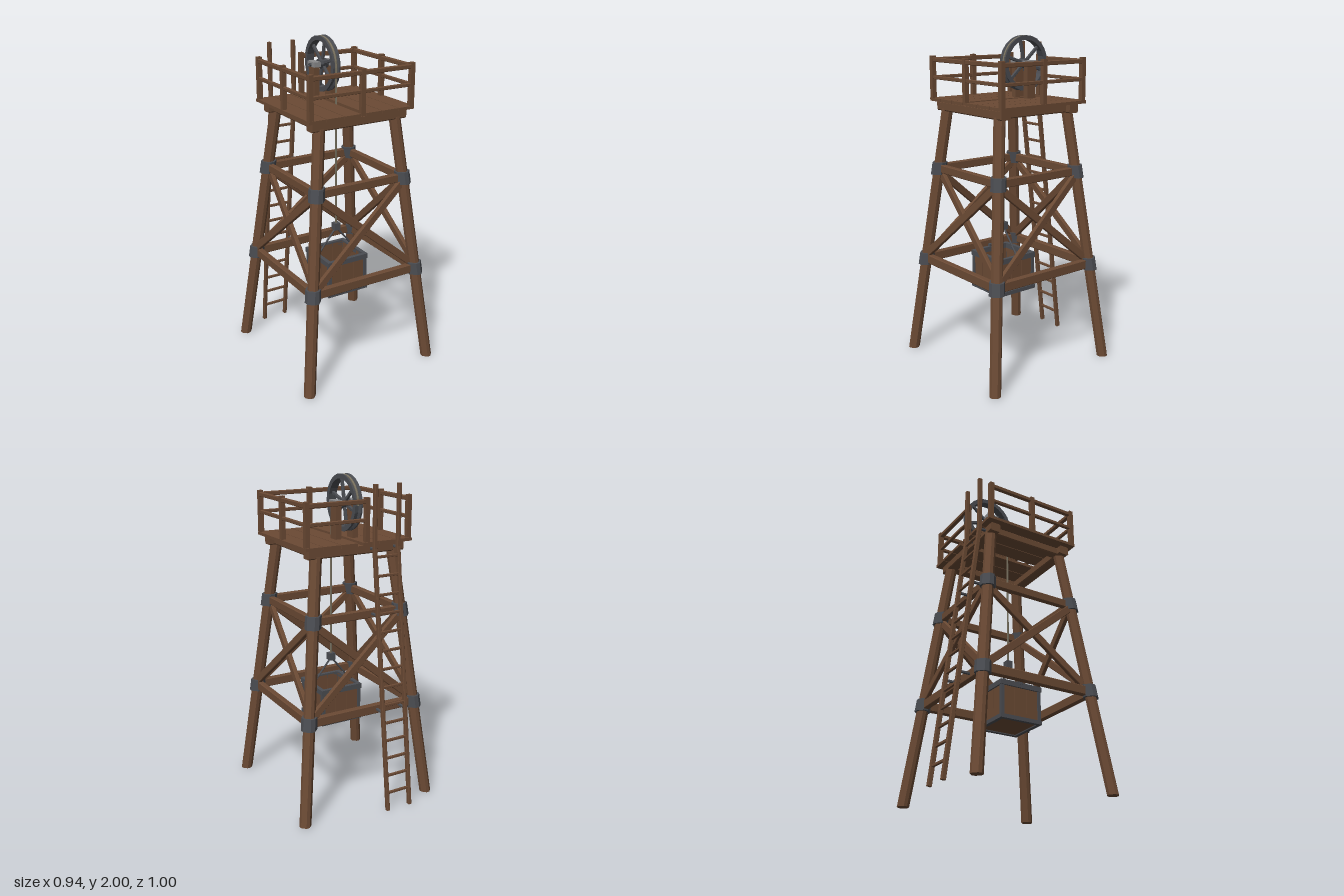
import * as THREE from 'three';

const material = (name, color) => {
  const m = new THREE.MeshStandardMaterial({ color, flatShading: true });
  m.name = name;
  return m;
};

const V = (x, y, z) => new THREE.Vector3(x, y, z);

export function createModel() {
  const wood = material('wood', 0x6b4a34);
  const steel = material('steel', 0x4b4d52);
  const paleSteel = material('paleSteel', 0x8a8a8c);
  const ropeMat = material('rope', 0x77705f);

  const model = new THREE.Group();
  model.name = 'hoistTower';
  const CZ = 0.033; // z of the tower's middle

  const group = (name) => {
    const g = new THREE.Group();
    g.name = name;
    model.add(g);
    return g;
  };
  const add = (parent, name, geo, mat) => {
    const mesh = new THREE.Mesh(geo, mat);
    mesh.name = name;
    parent.add(mesh);
    return mesh;
  };
  const box = (parent, name, mat, w, h, d, x, y, z) =>
    add(parent, name, new THREE.BoxGeometry(w, h, d).translate(x, y, z), mat);

  // Rectangle with cut corners, half sizes a and b
  const cutRect = (a, b, c) => new THREE.Shape([
    [a - c, -b], [a, -b + c], [a, b - c], [a - c, b],
    [c - a, b], [-a, b - c], [-a, c - b], [c - a, -b],
  ].map(([x, y]) => new THREE.Vector2(x, y)));

  // Beam between two points with lightly cut edges
  const beam = (parent, name, mat, p, q, w, h, up = V(0, 1, 0)) => {
    const dir = q.clone().sub(p);
    const geo = new THREE.ExtrudeGeometry(cutRect(w / 2, h / 2, Math.min(w, h) * 0.12),
      { depth: dir.length(), bevelEnabled: false });
    const z = dir.normalize();
    const x = up.clone().cross(z).normalize();
    const y = z.clone().cross(x);
    geo.applyMatrix4(new THREE.Matrix4().makeBasis(x, y, z).setPosition(p));
    return add(parent, name, geo, mat);
  };
  const rod = (parent, name, mat, p, q, r) => {
    const dir = q.clone().sub(p);
    const geo = new THREE.CylinderGeometry(r, r, dir.length(), 8);
    geo.applyQuaternion(new THREE.Quaternion().setFromUnitVectors(V(0, 1, 0), dir.normalize()));
    geo.translate((p.x + q.x) / 2, (p.y + q.y) / 2, (p.z + q.z) / 2);
    return add(parent, name, geo, mat);
  };

  // Centre line of a leaning leg
  const spread = (y) => 0.433 - 0.114 * y;
  const legPoint = (sx, sz, y) => V(sx * spread(y), y, CZ + sz * spread(y));
  const legPiece = (parent, name, mat, sx, sz, y0, y1, half, cut) => {
    const geo = new THREE.ExtrudeGeometry(cutRect(half, half, cut), { depth: 1, bevelEnabled: false });
    const p = legPoint(sx, sz, y0);
    const z = legPoint(sx, sz, y1).sub(p);
    const s = Math.SQRT1_2;
    geo.applyMatrix4(new THREE.Matrix4().makeBasis(V(s, 0, s), V(s, 0, -s), z).setPosition(p));
    add(parent, name, geo, mat);
  };

  // Legs with steel collars
  const LOW = 0.617, HIGH = 1.2;
  const legs = group('legs');
  for (const sx of [-1, 1]) for (const sz of [-1, 1]) {
    legPiece(legs, 'leg', wood, sx, sz, 0, 1.57, 0.032, 0.015);
    for (const y of [LOW, HIGH])
      legPiece(legs, 'legCollar', steel, sx, sz, y - 0.038, y + 0.038, 0.043, 0.02);
  }

  // Horizontal beams and cross braces on the four sides
  const frame = group('sideFrames');
  const corners = [[-1, 1], [1, 1], [1, -1], [-1, -1]];
  corners.forEach((a, i) => {
    const b = corners[(i + 1) % 4];
    const out = V(a[0] + b[0], 0, a[1] + b[1]).normalize();
    beam(frame, 'lowerBeam', wood, legPoint(...a, LOW), legPoint(...b, LOW), 0.036, 0.057);
    beam(frame, 'upperBeam', wood, legPoint(...a, HIGH), legPoint(...b, HIGH), 0.034, 0.05);
    [[a, b, 0.009], [b, a, -0.009]].forEach(([p, q, shift]) => {
      const o = out.clone().multiplyScalar(shift);
      beam(frame, 'crossBrace', wood, legPoint(...p, LOW + 0.015).add(o),
        legPoint(...q, HIGH - 0.015).add(o), 0.045, 0.026, out);
    });
  });

  // Platform: edge beams and planks with a rope slot
  const platform = group('platform');
  for (const s of [-1, 1]) {
    beam(platform, 'edgeBeam', wood, V(-0.315, 1.583, CZ + s * 0.255), V(0.315, 1.583, CZ + s * 0.255), 0.066, 0.056);
    beam(platform, 'sideBeam', wood, V(s * 0.255, 1.583, CZ - 0.25), V(s * 0.255, 1.583, CZ + 0.25), 0.056, 0.05);
    for (const [x0, x1] of [[0.018, 0.123], [0.128, 0.238], [0.242, 0.35]])
      box(platform, 'plank', wood, x1 - x0, 0.018, 0.635, s * (x0 + x1) / 2, 1.62, 0.03);
  }

  // Railing, open where the ladder arrives
  const railing = group('railing');
  const RX = 0.334, ZF = 0.333, ZB = -0.267;
  for (const [x, z] of [[-RX, ZF], [0, ZF], [RX, ZF], [-RX, CZ], [RX, CZ], [-RX, ZB], [RX, ZB], [-0.05, ZB]])
    box(railing, 'railPost', wood, 0.028, 0.265, 0.028, x, 1.747, z);
  for (const [y, t] of [[1.857, 0.025], [1.752, 0.02]]) {
    beam(railing, 'frontRail', wood, V(-0.346, y, ZF), V(0.346, y, ZF), t, t);
    beam(railing, 'backRail', wood, V(-0.062, y, ZB), V(0.346, y, ZB), t, t);
    for (const s of [-1, 1])
      beam(railing, 'sideRail', wood, V(s * RX, y, ZB - 0.012), V(s * RX, y, ZF + 0.012), t, t);
  }

  // Ladder: leaning stiles, upright grab ends, rungs and wall ties
  const ladder = group('ladder');
  const ladderZ = (y) => -0.491 + 0.122 * y;
  for (const x of [-0.247, -0.088]) {
    beam(ladder, 'stile', wood, V(x, 0, ladderZ(0)), V(x, 1.59, ladderZ(1.59)), 0.021, 0.026);
    beam(ladder, 'grabEnd', wood, V(x, 1.58, -0.297), V(x, 1.953, -0.297), 0.021, 0.026, V(0, 0, 1));
    for (const [y, z] of [[LOW, CZ - spread(LOW)], [HIGH, CZ - spread(HIGH)], [1.585, -0.24]])
      beam(ladder, 'ladderTie', steel, V(x, y, z), V(x, y, ladderZ(y)), 0.014, 0.014);
  }
  for (let i = 1; i <= 14; i++) {
    const y = i * 0.11;
    beam(ladder, 'rung', wood, V(-0.247, y, ladderZ(y)), V(-0.088, y, ladderZ(y)), 0.015, 0.015);
  }

  // Pulley wheel with grooved rim, spokes and axle
  const pulley = group('pulley');
  pulley.position.set(0, 1.835, -0.1);
  const rim = [[0.138, -0.025], [0.165, -0.025], [0.165, -0.015], [0.15, -0.006], [0.15, 0.006],
    [0.165, 0.015], [0.165, 0.025], [0.138, 0.025], [0.138, -0.025]];
  const lathe = new THREE.LatheGeometry(rim.map(([r, y]) => new THREE.Vector2(r, y)), 24);
  add(pulley, 'wheelRim', lathe.rotateZ(Math.PI / 2), steel);
  for (let i = 0; i < 6; i++) {
    const a = 0.32 + i * Math.PI / 3;
    beam(pulley, 'spoke', steel, V(0, 0, 0), V(0, Math.sin(a) * 0.142, Math.cos(a) * 0.142),
      0.018, 0.016, V(1, 0, 0));
  }
  rod(pulley, 'hub', steel, V(-0.028, 0, 0), V(0.028, 0, 0), 0.03);
  rod(pulley, 'axle', steel, V(-0.09, 0, 0), V(0.09, 0, 0), 0.011);
  for (const s of [-1, 1]) {
    box(pulley, 'wheelSupport', wood, 0.036, 0.196, 0.064, s * 0.056, -0.108, 0);
    box(pulley, 'bearing', paleSteel, 0.044, 0.03, 0.08, s * 0.056, 0.003, 0);
  }

  // Rope over the wheel and down to the hoist block
  const hoist = group('hoistRope');
  const BZ = 0.06;
  add(hoist, 'ropeOverWheel', new THREE.TorusGeometry(0.157, 0.007, 6, 24, Math.PI)
    .rotateY(-Math.PI / 2).translate(0, 1.835, -0.1), ropeMat);
  rod(hoist, 'hangingRope', ropeMat, V(0, 0.86, BZ), V(0, 1.835, BZ - 0.003), 0.006);
  box(hoist, 'hoistBlock', steel, 0.04, 0.046, 0.04, 0, 0.848, BZ);
  for (const s of [-1, 1]) {
    rod(hoist, 'sling', steel, V(0, 0.84, BZ), V(s * 0.132, 0.68, BZ), 0.006);
    box(hoist, 'slingLug', steel, 0.02, 0.025, 0.025, s * 0.133, 0.685, BZ);
  }

  // Open-topped bucket: plank walls, floor and steel edging
  const bucket = group('bucket');
  bucket.position.set(0, 0, BZ + 0.003);
  box(bucket, 'bucketFloor', wood, 0.26, 0.02, 0.26, 0, 0.462, 0);
  for (let i = 0; i < 4; i++) {
    const side = new THREE.Group();
    side.name = 'bucketSide';
    side.rotation.y = i * Math.PI / 2;
    bucket.add(side);
    for (const x of [-1, 0, 1])
      box(side, 'bucketPlank', wood, 0.082, 0.215, 0.014, x * 0.085, 0.565, 0.125);
    box(side, 'topBand', steel, 0.284, 0.032, 0.024, 0, 0.667, 0.13);
    box(side, 'bottomBand', steel, 0.284, 0.024, 0.024, 0, 0.458, 0.13);
    box(side, 'cornerPost', steel, 0.022, 0.2, 0.022, 0.127, 0.565, 0.127);
  }

  return model;
}
